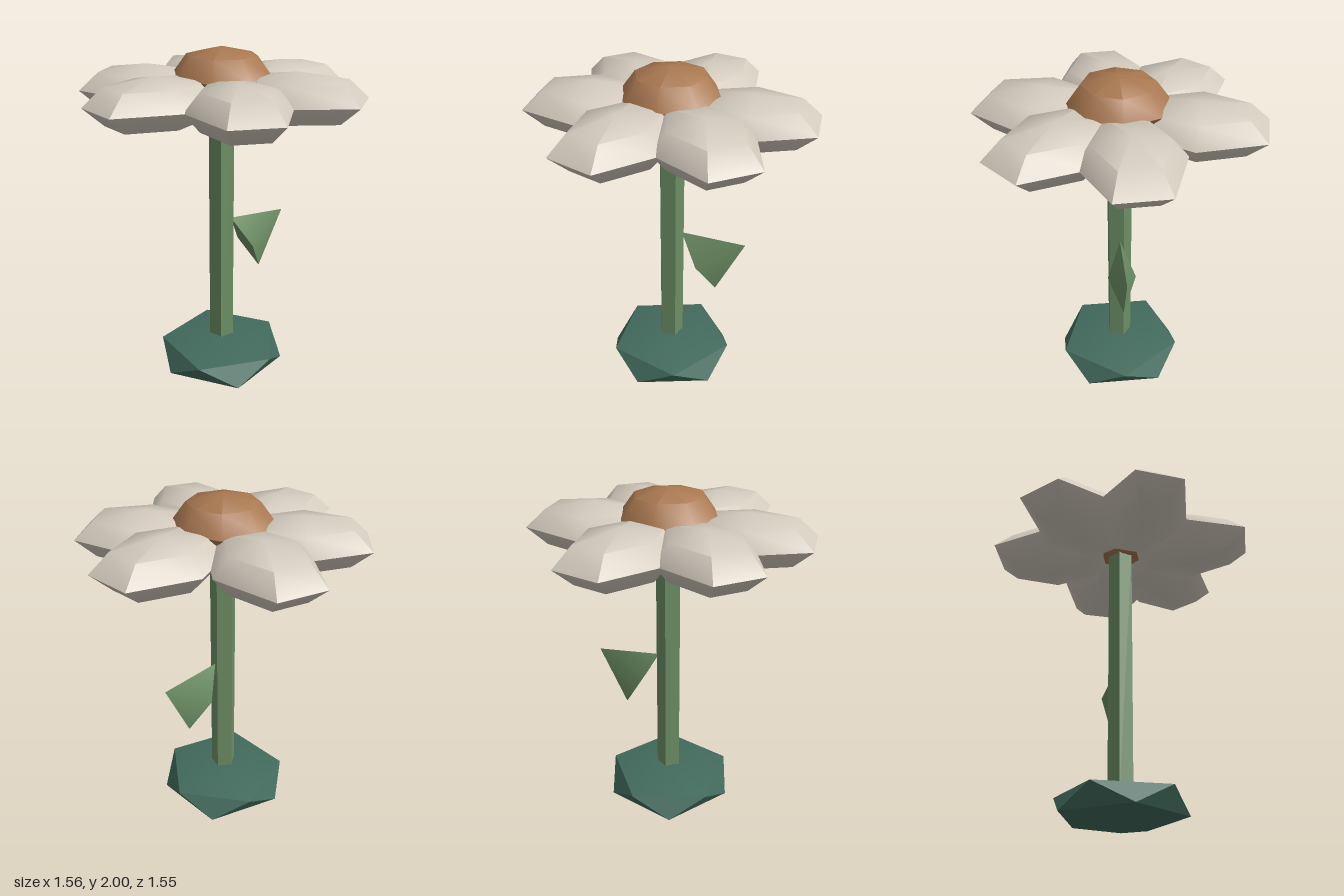
import * as THREE from 'three';
import { toCreasedNormals } from 'three/addons/utils/BufferGeometryUtils.js';
import { ConvexGeometry } from 'three/addons/geometries/ConvexGeometry.js';

const material = (name, color) => {
  const m = new THREE.MeshStandardMaterial({ color });
  m.name = name;
  return m;
};

export function createModel() {
  const cream = material('cream', 0xd2cabd);
  const brown = material('brown', 0xa97850);
  const leafGreen = material('leaf green', 0x6d8f65);
  const darkGreen = material('dark green', 0x426a5d);

  const flower = new THREE.Group();
  flower.name = 'flower';

  // Smooth over shallow edges, sharp over steep ones
  const add = (name, geometry, mat, parent = flower) => {
    const mesh = new THREE.Mesh(toCreasedNormals(geometry, 0.78), mat);
    mesh.name = name;
    parent.add(mesh);
    return mesh;
  };

  // Base: squashed icosahedron standing on a corner
  const corners = [new THREE.Vector3(0, 0, 0), new THREE.Vector3(0, 0.268, 0)];
  for (let i = 0; i < 5; i++) {
    const a = (i * Math.PI * 2) / 5;
    const x = 0.37 * Math.cos(a), z = 0.37 * Math.sin(a);
    corners.push(new THREE.Vector3(x, 0.197, z), new THREE.Vector3(-x, 0.078, z));
  }
  add('base', new ConvexGeometry(corners), darkGreen);

  // Stem: five sides, one corner to the back
  const stem = new THREE.CylinderGeometry(0.074, 0.074, 1.6, 5, 1, false, Math.PI);
  add('stem', stem, leafGreen).position.y = 0.95;

  // Leaf: flattened four-sided cone pointing away from the stem
  const leafShape = new THREE.ConeGeometry(0.21, 0.312, 4);
  leafShape.scale(1, 1, 0.39);
  const leaf = add('leaf', leafShape, leafGreen);
  leaf.position.set(0.305, 0.897, 0);
  leaf.rotation.z = -THREE.MathUtils.degToRad(60);

  // Flower centre
  const centre = new THREE.SphereGeometry(1, 8, 4);
  centre.scale(0.276, 0.154, 0.276);
  add('flowerCentre', centre, brown).position.y = 1.846;

  // Petals, unevenly spaced around the centre
  const petals = new THREE.Group();
  petals.name = 'petals';
  petals.position.y = 1.75;
  flower.add(petals);
  for (const angle of [2.2, 74.4, 133, 184.5, 248.6, 307.8]) {
    const petal = new THREE.SphereGeometry(1, 6, 4);
    petal.scale(0.28, 0.14, 0.404);
    petal.translate(0, 0, 0.424);
    add('petal', petal, cream, petals).rotation.y = THREE.MathUtils.degToRad(angle + 90);
  }

  return flower;
}
